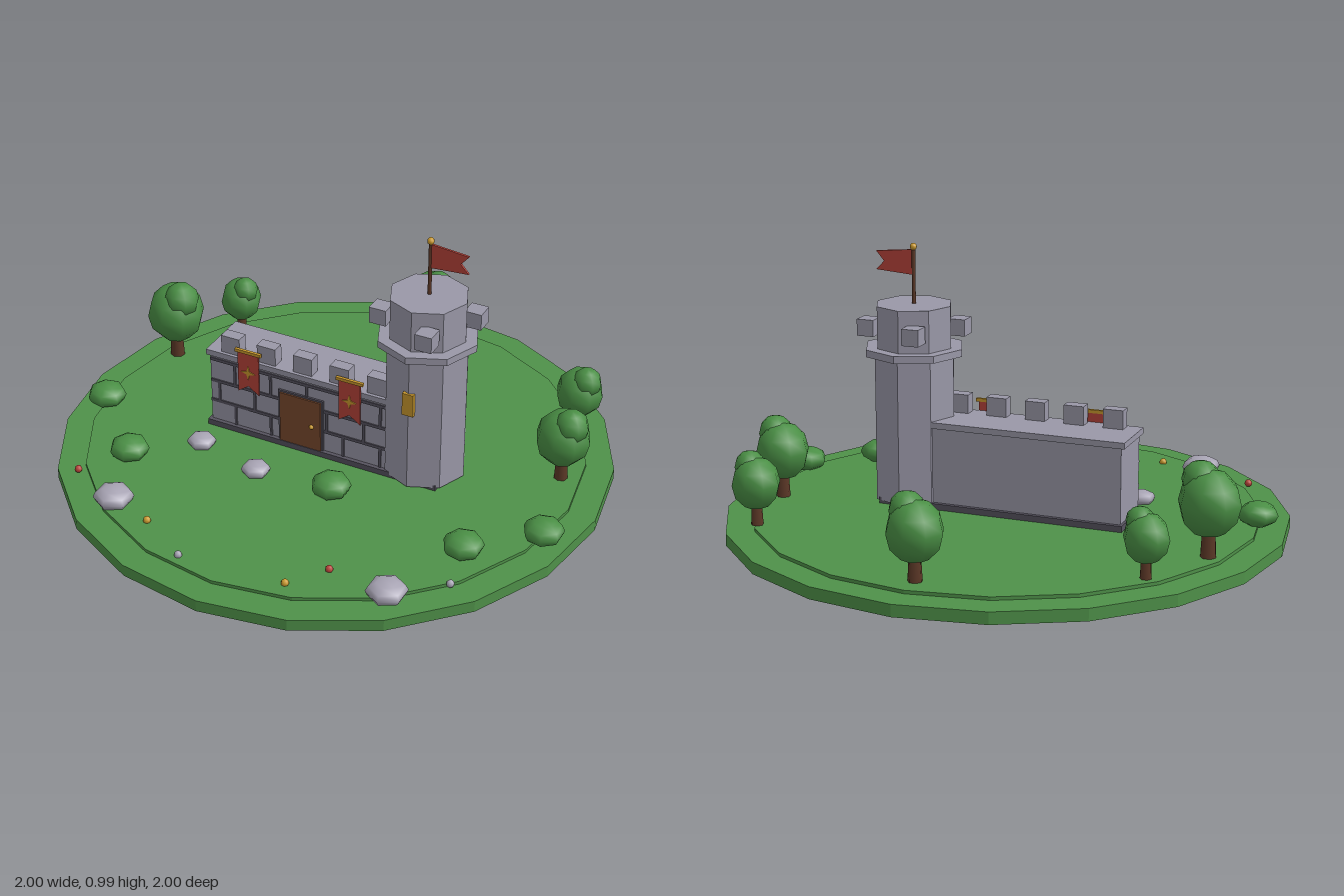
import * as THREE from 'three';
import { toCreasedNormals } from 'three/addons/utils/BufferGeometryUtils.js';

const mat = (name, color) => {
  const m = new THREE.MeshStandardMaterial({ color });
  m.name = name;
  return m;
};

export function createModel() {
  const grass = mat('grass', 0x4f9149);
  const leaf = mat('foliage', 0x4a8f45);
  const stone = mat('stone', 0x9a98a8);
  const mortar = mat('darkStone', 0x56535f);
  const rock = mat('rock', 0xa8a4b4);
  const wood = mat('doorWood', 0x7a4a2e);
  const bark = mat('bark', 0x5c3827);
  const red = mat('redCloth', 0xb8433a);
  const gold = mat('gold', 0xcb9a2e);

  const model = new THREE.Group();
  model.name = 'castleOnMeadow';

  const add = (parent, name, geo, material, x = 0, y = 0, z = 0) => {
    const mesh = new THREE.Mesh(geo, material);
    mesh.name = name;
    mesh.position.set(x, y, z);
    parent.add(mesh);
    return mesh;
  };
  const group = (name, x = 0, y = 0, z = 0) => {
    const g = new THREE.Group();
    g.name = name;
    g.position.set(x, y, z);
    model.add(g);
    return g;
  };
  // Box given by its extents
  const box = (parent, name, material, x0, x1, y0, y1, z0, z1) =>
    add(parent, name, new THREE.BoxGeometry(x1 - x0, y1 - y0, z1 - z0), material,
      (x0 + x1) / 2, (y0 + y1) / 2, (z0 + z1) / 2);
  // Faceted prism standing between two heights
  const prism = (parent, name, material, r, sides, y0, y1, x = 0, z = 0) =>
    add(parent, name, toCreasedNormals(new THREE.CylinderGeometry(r, r, y1 - y0, sides), 0.2),
      material, x, (y0 + y1) / 2, z);
  const blob = (parent, name, material, rx, ry, sides, x, y, z) => {
    const mesh = add(parent, name, new THREE.SphereGeometry(1, sides, 6), material, x, y, z);
    mesh.scale.set(rx, ry, rx);
    return mesh;
  };
  // Flat plate cut from an outline
  const plate = (parent, name, material, pts, depth, x, y, z) =>
    add(parent, name, new THREE.ExtrudeGeometry(
      new THREE.Shape(pts.map(([a, b]) => new THREE.Vector2(a, b))),
      { depth, bevelEnabled: false }), material, x, y, z);

  // Meadow
  const G = 0.055;
  prism(model, 'groundDisc', grass, 1, 20, 0, 0.043);
  prism(model, 'innerGround', grass, 0.9, 20, 0.043, G);

  // Wall with plinth, coping and battlements
  const wall = group('wall');
  box(wall, 'plinth', mortar, -0.465, 0.447, G, 0.077, -0.115, 0.115);
  box(wall, 'wallBody', stone, -0.455, 0.4, 0.07, 0.352, -0.1, 0.1);
  box(wall, 'coping', stone, -0.468, 0.4, 0.35, 0.372, -0.107, 0.107);
  for (let i = 0; i < 5; i++) {
    const x = -0.374 + i * 0.145;
    box(wall, 'wallMerlon', stone, x - 0.037, x + 0.037, 0.372, 0.44, 0.05, 0.095);
  }

  // Mortar joints on the front face
  const rows = [0.077, 0.16, 0.245, 0.335];
  rows.slice(1).forEach((y) =>
    box(wall, 'mortarRow', mortar, -0.455, 0.25, y - 0.006, y + 0.006, 0.1, 0.104));
  for (let r = 0; r < 3; r++) {
    for (let x = r % 2 ? -0.42 : -0.355; x < 0.24; x += 0.145) {
      box(wall, 'mortarJoint', mortar, x - 0.005, x + 0.005, rows[r], rows[r + 1], 0.1, 0.104);
    }
  }

  // Door
  const door = group('door');
  box(door, 'doorFrame', mortar, -0.176, 0.003, 0.077, 0.288, 0.1, 0.107);
  box(door, 'doorLeaf', wood, -0.168, -0.005, 0.077, 0.28, 0.1, 0.113);
  add(door, 'doorKnob', new THREE.SphereGeometry(0.009, 8, 6), gold, -0.04, 0.172, 0.115);

  // Hanging banners with a four-pointed star
  const star = [];
  for (let i = 0; i < 8; i++) {
    const r = i % 2 ? 0.009 : 0.028;
    star.push([r * Math.sin(i * Math.PI / 4), r * Math.cos(i * Math.PI / 4)]);
  }
  for (const x of [-0.293, 0.11]) {
    const banner = group('banner', x, 0, 0.108);
    plate(banner, 'bannerCloth', red,
      [[-0.042, 0.41], [-0.042, 0.238], [0, 0.268], [0.042, 0.238], [0.042, 0.41]], 0.005, 0, 0, 0);
    plate(banner, 'bannerStar', gold, star, 0.003, 0, 0.325, 0.005);
    box(banner, 'bannerRod', gold, -0.052, 0.052, 0.404, 0.416, -0.002, 0.009);
  }

  // Octagonal tower
  const tower = group('tower', 0.353);
  prism(tower, 'towerShaft', stone, 0.15, 8, 0.066, 0.6);
  prism(tower, 'towerRing', stone, 0.182, 8, 0.592, 0.618);
  prism(tower, 'towerTop', stone, 0.14, 8, 0.618, 0.77);
  for (let i = 0; i < 4; i++) {
    const a = Math.PI / 8 + i * Math.PI / 2;
    add(tower, 'towerMerlon', new THREE.BoxGeometry(0.063, 0.06, 0.063), stone,
      0.161 * Math.sin(a), 0.688, 0.161 * Math.cos(a));
  }
  box(tower, 'towerWindow', gold, -0.021, 0.021, 0.368, 0.455, 0.13, 0.157);

  // Flag
  const flag = group('flag', 0.353);
  add(flag, 'flagPole', new THREE.CylinderGeometry(0.007, 0.007, 0.2, 8), bark, 0, 0.87, 0);
  add(flag, 'flagFinial', new THREE.SphereGeometry(0.013, 8, 6), gold, 0, 0.973, 0);
  plate(flag, 'flagCloth', red,
    [[0.004, 0.873], [0.142, 0.883], [0.112, 0.915], [0.142, 0.95], [0.004, 0.963]], 0.008, 0, 0, -0.004);

  // Trees: x, z, scale
  for (const [x, z, s] of [[0, -0.81, 1], [-0.68, -0.517, 0.8], [-0.81, -0.245, 1.1],
    [0.74, -0.487, 0.88], [0.805, -0.163, 1]]) {
    const tree = group('tree', x, G, z);
    tree.scale.setScalar(s);
    add(tree, 'treeTrunk', new THREE.CylinderGeometry(0.019, 0.025, 0.12, 7), bark, 0, 0.06, 0);
    blob(tree, 'treeCrown', leaf, 0.099, 0.106, 8, 0, 0.17, 0);
    blob(tree, 'treeCrownTop', leaf, 0.062, 0.062, 8, 0.032, 0.234, 0.013);
  }

  // Bushes
  for (const [x, z] of [[0.128, 0.288], [-0.615, 0.415], [0.675, 0.385], [-0.873, 0.158], [0.885, 0.192]]) {
    blob(model, 'bush', leaf, 0.072, 0.044, 7, x, 0.088, z);
  }

  // Boulders: x, z, radius
  for (const [x, z, r] of [[-0.42, 0.24, 0.053], [-0.163, 0.303, 0.053], [-0.518, 0.675, 0.072], [0.547, 0.705, 0.072]]) {
    blob(model, 'boulder', rock, r, r * 0.53, 6, x, G + r * 0.3, z).rotation.y = Math.PI / 6;
  }

  // Flowers
  for (const [x, z, m] of [[-0.727, 0.578, red], [0.321, 0.675, red], [-0.355, 0.722, gold],
    [0.225, 0.805, gold], [-0.163, 0.837, rock], [0.709, 0.562, rock]]) {
    blob(model, 'flower', m, 0.014, 0.014, 7, x, 0.061, z);
  }

  return model;
}
